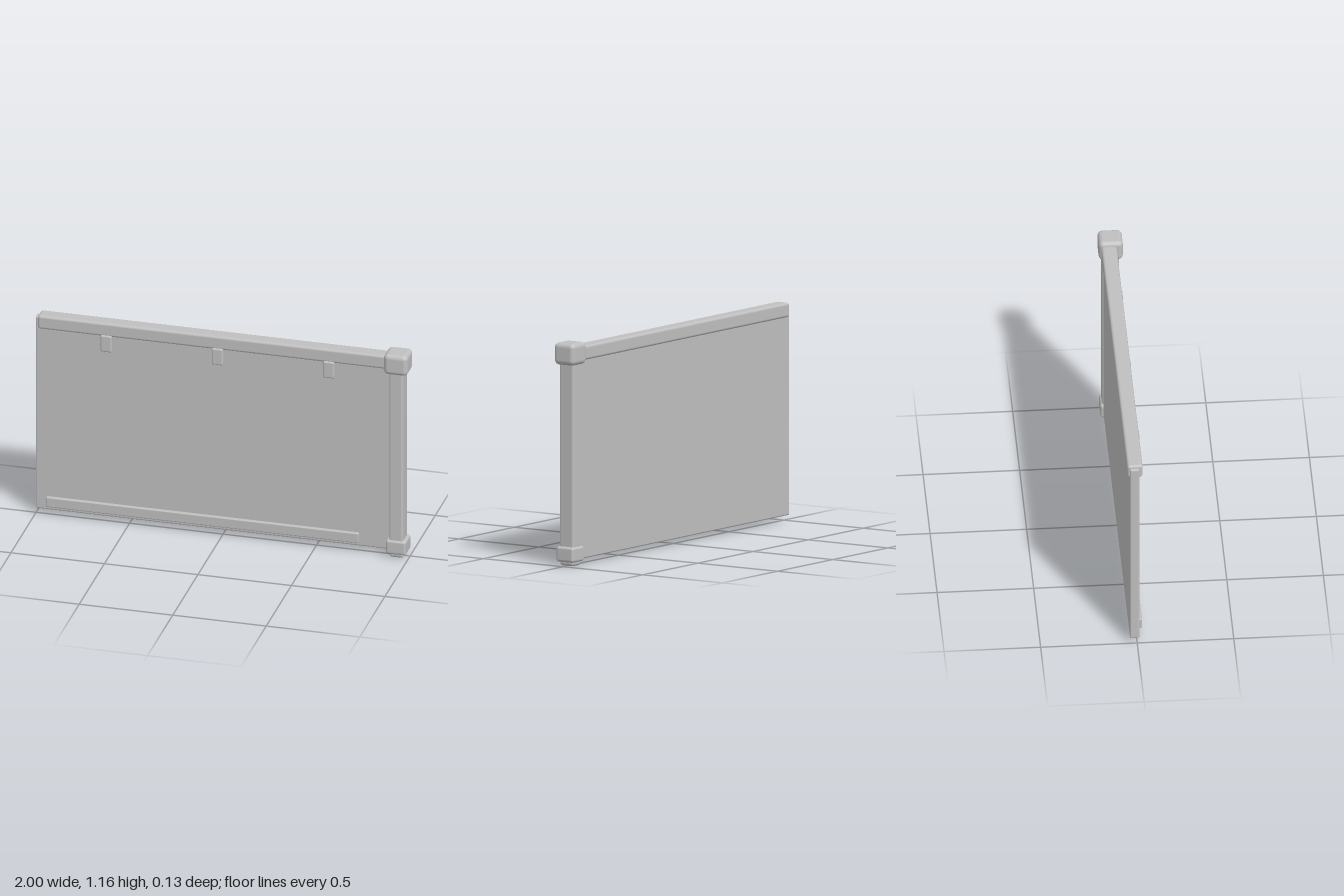
import * as THREE from 'three';
import { RoundedBoxGeometry } from 'three/addons/geometries/RoundedBoxGeometry.js';

export function createModel() {
  const group = new THREE.Group();
  const grey = new THREE.MeshStandardMaterial({ color: 0xbfbfbf });
  grey.name = 'light grey';

  // Rounded box given by its extents on each axis
  function block(name, [x0, x1], [y0, y1], [z0, z1], radius, segments = 4) {
    const geometry = new RoundedBoxGeometry(x1 - x0, y1 - y0, z1 - z0, segments, radius);
    const mesh = new THREE.Mesh(geometry, grey);
    mesh.position.set((x0 + x1) / 2, (y0 + y1) / 2, (z0 + z1) / 2);
    mesh.name = name;
    group.add(mesh);
  }

  // Flat sheet with its top rail and lower strip
  block('panel', [-1, 0.93], [0.03, 1.127], [-0.037, 0.012], 0.008);
  block('topRail', [-0.985, 0.92], [1.066, 1.142], [-0.05, 0.03], 0.014);
  block('lowerStrip', [-0.94, 0.732], [0.051, 0.107], [-0.01, 0.03], 0.006);

  // Clips hanging below the rail
  [-0.617, -0.022, 0.573].forEach((x, i) =>
    block(`clip${i + 1}`, [x - 0.03, x + 0.03], [0.981, 1.075], [-0.01, 0.038], 0.009));

  // Upright post with corner caps and foot
  block('post', [0.898, 0.973], [0.05, 1.1], [-0.045, 0.045], 0.012);
  block('topCap', [0.872, 1], [1.05, 1.165], [-0.063, 0.063], 0.025, 5);
  block('bottomCap', [0.882, 0.99], [0.021, 0.101], [-0.054, 0.054], 0.014);
  block('foot', [0.898, 0.973], [0, 0.05], [-0.042, 0.042], 0.014);

  return group;
}
